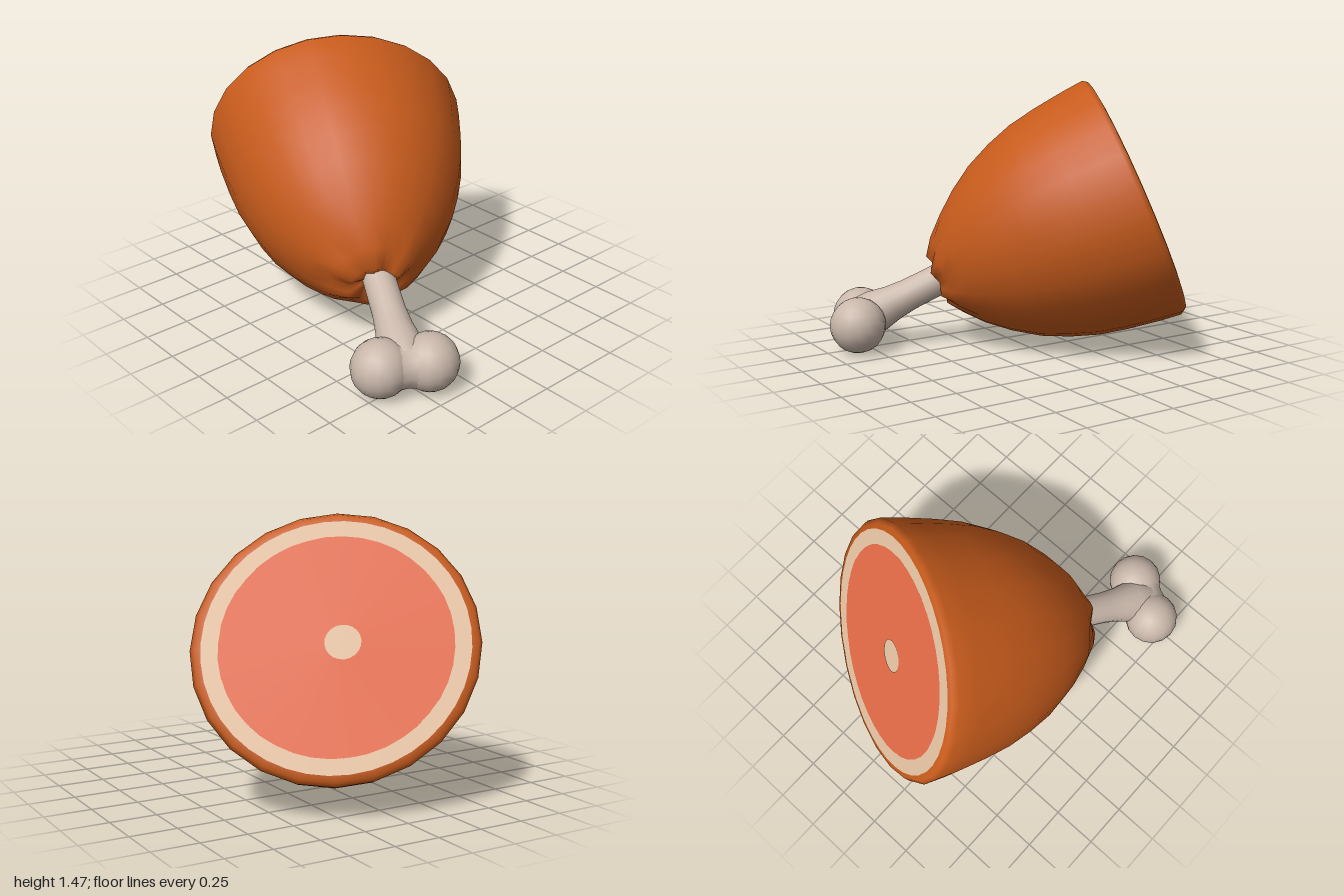
import * as THREE from 'three';
import { mergeVertices } from 'three/addons/utils/BufferGeometryUtils.js';

const mat = (name, color) => {
  const m = new THREE.MeshStandardMaterial({ color });
  m.name = name;
  return m;
};

// Move every vertex of a geometry by a rule
function deformed(g, rule) {
  const p = g.attributes.position, v = new THREE.Vector3();
  for (let i = 0; i < p.count; i++) {
    rule(v.fromBufferAttribute(p, i));
    p.setXYZ(i, v.x, v.y, v.z);
  }
  return g;
}

// Smooth surface of revolution about Y; profile is a list of [radius, height]
function turned(profile, sides, rule = () => {}) {
  const g = deformed(new THREE.LatheGeometry(profile.map(([r, y]) => new THREE.Vector2(r, y)), sides), rule);
  g.deleteAttribute('uv');
  g.deleteAttribute('normal');
  const merged = mergeVertices(g, 1e-4);
  merged.computeVertexNormals();
  return merged;
}

// Group at a point whose local +Y runs along a direction
function frame(name, origin, direction) {
  const group = new THREE.Group();
  group.name = name;
  group.position.copy(origin);
  group.quaternion.setFromUnitVectors(new THREE.Vector3(0, 1, 0), direction.clone().normalize());
  return group;
}

export function createModel() {
  const skin = mat('roast brown', 0xc75b1c);
  const flesh = mat('meat pink', 0xee6f4a);
  const fat = mat('fat cream', 0xeac6a5);
  const bone = mat('bone grey', 0xc9b7aa);

  const model = new THREE.Group();
  model.name = 'hamOnBone';
  const add = (parent, name, geometry, material) => {
    const mesh = new THREE.Mesh(geometry, material);
    mesh.name = name;
    parent.add(mesh);
    return mesh;
  };

  // Ham: origin at the cut face
  const ham = frame('ham', new THREE.Vector3(-0.6, 0.84, -0.165), new THREE.Vector3(0.8, -0.39, 0.455));
  model.add(ham);
  const toLocal = ham.quaternion.clone().invert();

  // The cut end is slightly oval, fading to round halfway along
  const shortAxis = new THREE.Vector3(0.507, 0.837, -0.213).applyQuaternion(toLocal).setY(0).normalize();
  const oval = (v) => {
    const k = 0.06 * (1 - THREE.MathUtils.smoothstep(v.y, 0, 0.65));
    v.addScaledVector(shortAxis, -k * v.dot(shortAxis));
  };

  // Skin, puckered where it meets the bone
  const skinProfile = [
    [0.683, 0], [0.722, 0.006], [0.742, 0.035], [0.724, 0.16], [0.686, 0.34], [0.645, 0.5],
    [0.59, 0.65], [0.522, 0.8], [0.43, 0.94], [0.33, 1.06], [0.225, 1.15], [0.135, 1.21], [0.04, 1.17],
  ];
  add(ham, 'skin', turned(skinProfile, 24, (v) => {
    oval(v);
    const k = THREE.MathUtils.smoothstep(v.y, 1.08, 1.2);
    const wave = Math.cos(6 * Math.atan2(v.x, v.z));
    const s = 1 + 0.08 * k * wave;
    v.set(v.x * s, v.y + 0.012 * k * wave, v.z * s);
  }), skin);

  // Cut face: meat, fat ring and the sawn bone end
  const face = (name, geometry, material) => add(ham, name, deformed(geometry.rotateX(Math.PI / 2), oval), material);
  face('cutMeat', new THREE.CircleGeometry(0.6, 40), flesh);
  face('fatRing', new THREE.RingGeometry(0.598, 0.686, 40), fat);
  const sawn = face('sawnBone', new THREE.CircleGeometry(0.094, 20), fat);
  sawn.position.set(-0.01, 0.014, 0.03).applyQuaternion(toLocal);
  sawn.position.y = -0.004;

  // Bone shaft flaring into the knuckle
  const neck = new THREE.Vector3(0.39, 0.37, 0.355);
  const frontKnob = new THREE.Vector3(0.728, 0.155, 0.657);
  const sideKnob = new THREE.Vector3(0.847, 0.155, 0.432);
  const middle = frontKnob.clone().lerp(sideKnob, 0.5);
  const shaft = frame('bone', neck, middle.clone().sub(neck));
  model.add(shaft);
  add(shaft, 'boneShaft', turned([
    [0.085, -0.16], [0.088, 0], [0.09, 0.18], [0.1, 0.28], [0.122, 0.39], [0.122, 0.48], [0.08, 0.55], [0, 0.57],
  ], 16), bone);

  // Two rounded knobs joined by a short bridge
  for (const [name, at] of [['frontKnob', frontKnob], ['sideKnob', sideKnob]]) {
    add(model, name, new THREE.SphereGeometry(0.153, 16, 12), bone).position.copy(at);
  }
  const bridge = frame('knuckle', middle, sideKnob.clone().sub(frontKnob));
  model.add(bridge);
  add(bridge, 'knuckleBridge', turned([[0.143, -0.09], [0.124, -0.045], [0.118, 0], [0.124, 0.045], [0.143, 0.09]], 16), bone);
  return model;
}
